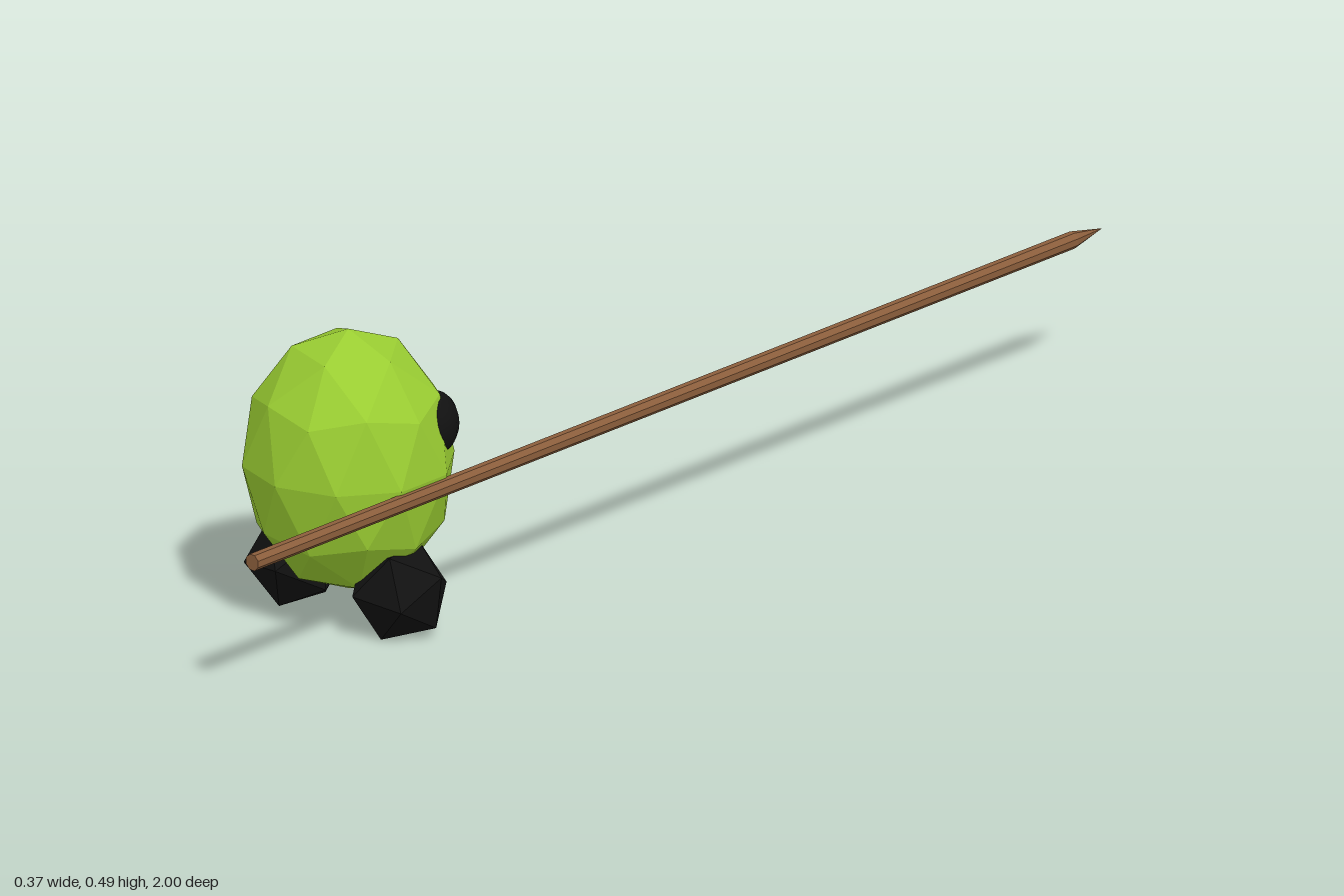
import * as THREE from 'three';

const green = new THREE.MeshStandardMaterial({ color: 0x9acd32 });
green.name = 'lime green';
const black = new THREE.MeshStandardMaterial({ color: 0x111111 });
black.name = 'black';
const brown = new THREE.MeshStandardMaterial({ color: 0x8b5e3c });
brown.name = 'wood brown';

const BODY = new THREE.Vector3(0, 0.273, 0.594);

// Split the faces so that every facet is flat
function flat(geometry) {
  const g = geometry.index ? geometry.toNonIndexed() : geometry;
  g.computeVertexNormals();
  return g;
}

// Faceted ball with a vertex at each pole: two rings of five between them
function icoBall(radius, detail) {
  const points = [0, 1, 0];
  const ring = 2 / Math.sqrt(5), h = 1 / Math.sqrt(5);
  for (const [y, offset] of [[h, 0], [-h, 0.5]]) {
    for (let i = 0; i < 5; i++) {
      const a = ((i + offset) / 5) * Math.PI * 2;
      points.push(ring * Math.cos(a), y, ring * Math.sin(a));
    }
  }
  points.push(0, -1, 0);
  const faces = [];
  for (let i = 0; i < 5; i++) {
    const j = (i + 1) % 5;
    const u = 1 + i, un = 1 + j, l = 6 + i, ln = 6 + j;
    faces.push(0, un, u, u, un, l, l, un, ln, 11, l, ln);
  }
  return flat(new THREE.PolyhedronGeometry(points, faces, radius, detail));
}

function addMesh(group, name, geometry, material) {
  const mesh = new THREE.Mesh(geometry, material);
  mesh.name = name;
  group.add(mesh);
  return mesh;
}

export function createModel() {
  const model = new THREE.Group();
  model.name = 'spearCarrier';

  // Egg-shaped body
  const bodyShape = icoBall(1, 1);
  bodyShape.scale(0.1725, 0.221, 0.1725);
  addMesh(model, 'body', flat(bodyShape), green).position.copy(BODY);

  for (const side of [1, -1]) {
    const label = side > 0 ? 'left' : 'right';

    // Chunky feet, rolled and turned in mirror image
    const footShape = icoBall(0.0855, 0);
    if (side < 0) footShape.rotateY(Math.PI);
    const foot = addMesh(model, label + 'Foot', footShape, black);
    foot.position.set(side * 0.1105, 0.0785, BODY.z);
    foot.rotation.set(0.045, side * 0.22, side * -1.152, 'YXZ');

    // Flattened eyes set into the head, facing away from the feet's front
    const eyeShape = new THREE.SphereGeometry(1, 16, 12);
    eyeShape.scale(0.052, 0.052, 0.04);
    const eye = addMesh(model, label + 'Eye', eyeShape, black);
    const angle = 0.72;
    eye.position.set(
      side * 0.137 * Math.cos(angle),
      0.335,
      BODY.z - 0.137 * Math.sin(angle)
    );
    eye.rotation.y = side * (Math.PI / 2 + angle);
  }

  // Long spear: octagonal shaft with a pointed end
  const spear = new THREE.Group();
  spear.name = 'spear';
  spear.position.set(0.165, 0.254, 0);
  const r = 0.0142, tip = 0.07;
  const shaftShape = new THREE.CylinderGeometry(r, r, 2 - tip, 8);
  shaftShape.rotateY(Math.PI / 8).rotateX(-Math.PI / 2);
  addMesh(spear, 'shaft', flat(shaftShape), brown).position.z = tip / 2;
  const tipShape = new THREE.ConeGeometry(r, tip, 8);
  tipShape.rotateY(Math.PI / 8).rotateX(-Math.PI / 2);
  addMesh(spear, 'spearTip', flat(tipShape), brown).position.z = -1 + tip / 2;
  model.add(spear);

  return model;
}
